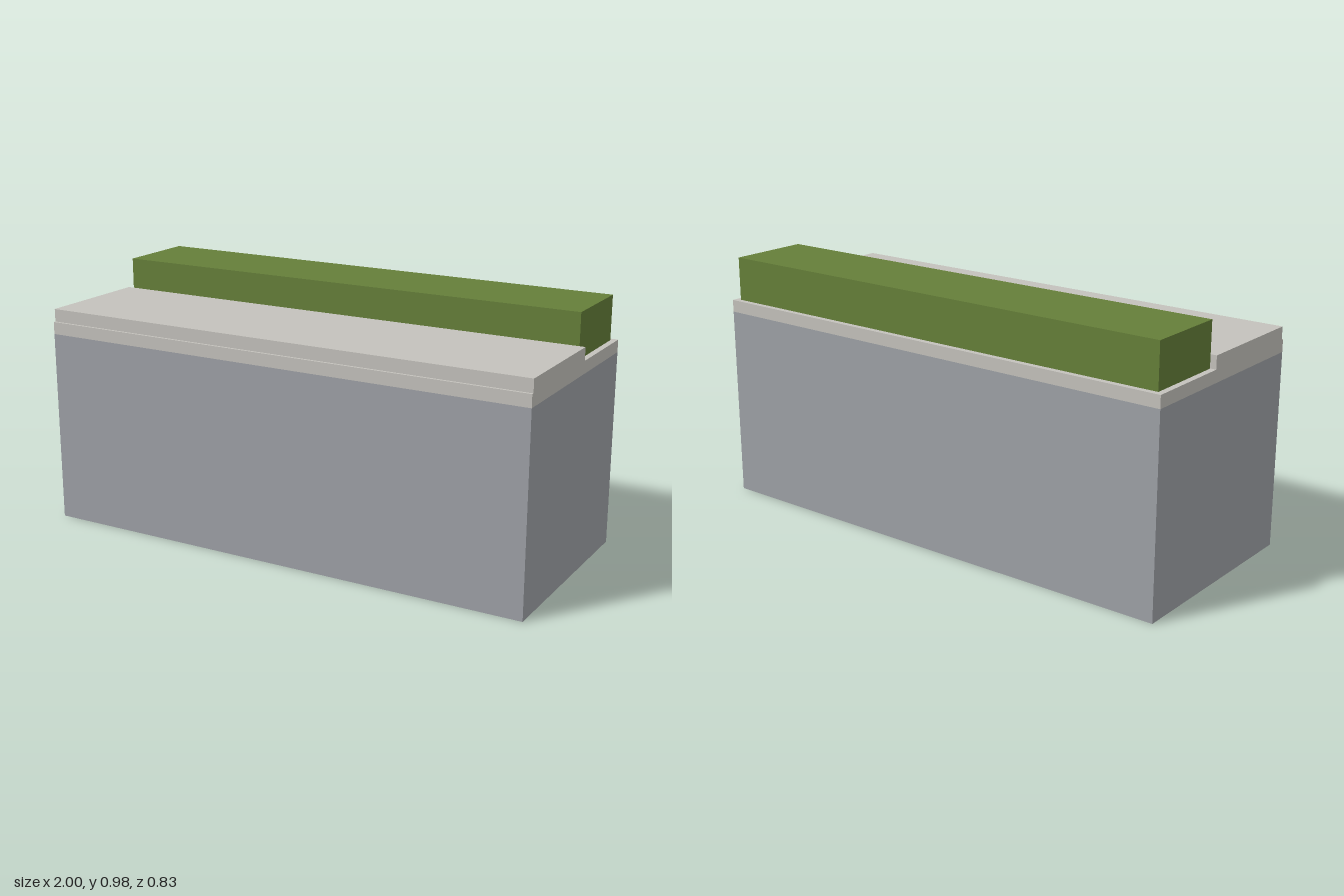
import * as THREE from 'three';

function material(name, color) {
  const m = new THREE.MeshStandardMaterial({ color });
  m.name = name;
  return m;
}

// Box given by its width (centred on x) and its y and z extents
function block(name, mat, width, y0, y1, z0, z1) {
  const mesh = new THREE.Mesh(new THREE.BoxGeometry(width, y1 - y0, z1 - z0), mat);
  mesh.name = name;
  mesh.position.set(0, (y0 + y1) / 2, (z0 + z1) / 2);
  return mesh;
}

export function createModel() {
  const wall = material('greyWall', 0x9ea1a6);
  const stone = material('paleStone', 0xc4c2bc);
  const leaf = material('hedgeGreen', 0x657f39);

  const group = new THREE.Group();
  group.name = 'planterWall';
  group.add(
    block('wallBody', wall, 2, 0, 0.759, -0.416, 0.416),
    // Coping band flush with the wall
    block('copingBand', stone, 2, 0.759, 0.807, -0.416, 0.416),
    // Raised front slab, slightly set back from the front edge
    block('seatSlab', stone, 2, 0.807, 0.857, -0.065, 0.406),
    // Clipped hedge along the back
    block('hedge', leaf, 1.954, 0.807, 0.979, -0.394, -0.067)
  );
  return group;
}
